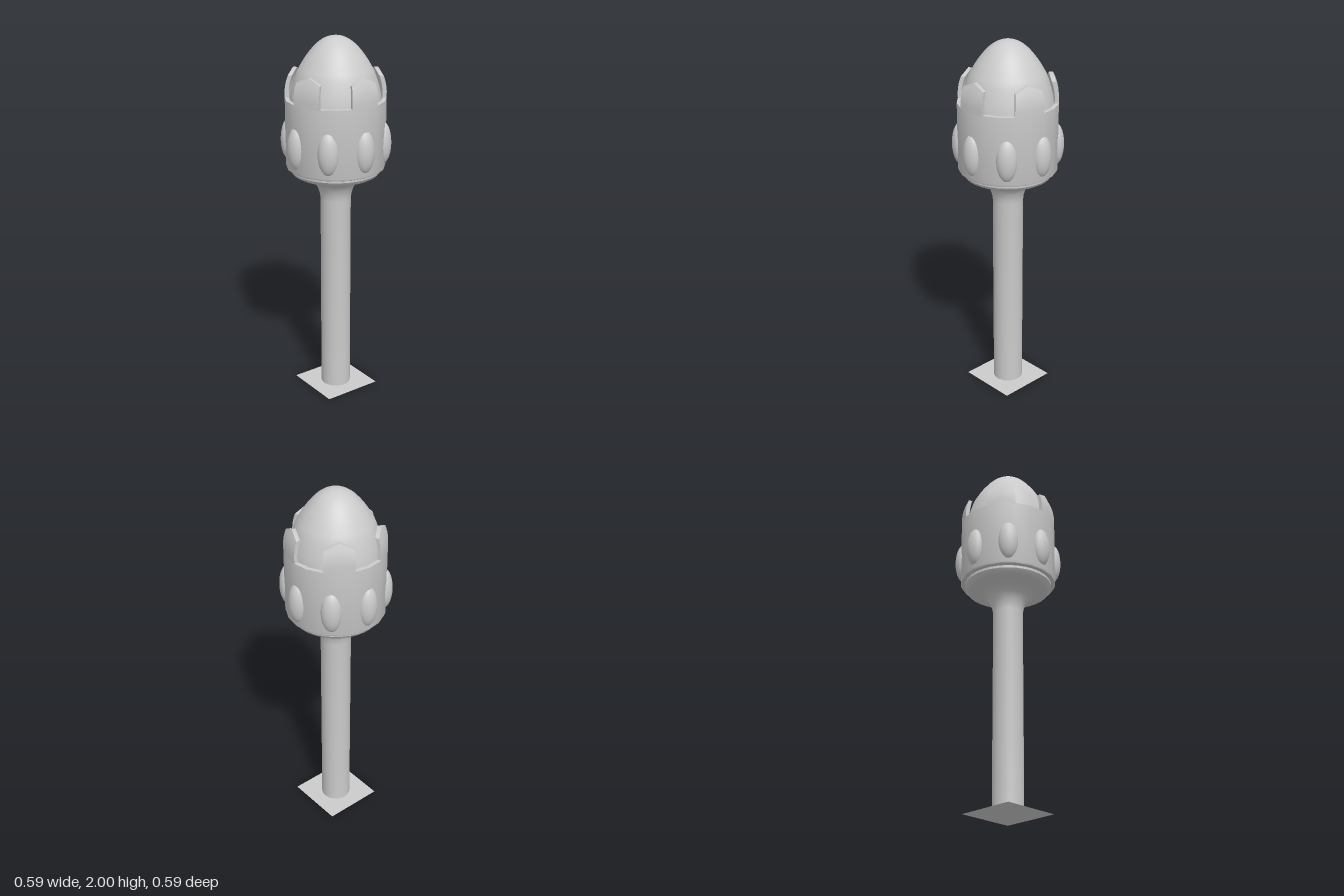
import * as THREE from 'three';
import { toCreasedNormals } from 'three/addons/utils/BufferGeometryUtils.js';

export function createModel() {
  const model = new THREE.Group();
  const grey = new THREE.MeshStandardMaterial({ color: 0xcccccc });
  const greyDouble = new THREE.MeshStandardMaterial({ color: 0xcccccc, side: THREE.DoubleSide });

  const add = (name, geometry, material = grey) => {
    const mesh = new THREE.Mesh(geometry, material);
    mesh.name = name;
    model.add(mesh);
    return mesh;
  };
  const points = (list) => list.map(([r, y]) => new THREE.Vector2(r, y));
  const lathe = (list, sides, crease = 0.6) =>
    toCreasedNormals(new THREE.LatheGeometry(points(list), sides), crease);

  // Thin square foot under the handle
  add('footPlate', new THREE.PlaneGeometry(0.33, 0.33).rotateX(-Math.PI / 2), greyDouble);

  // Straight handle flaring into the bowl under the head
  add('handle', lathe([
    [0.082, 0], [0.082, 1.12], [0.086, 1.15], [0.097, 1.185], [0.115, 1.213], [0.14, 1.234],
    [0.175, 1.248], [0.21, 1.257], [0.23, 1.268], [0.241, 1.284], [0.241, 1.305],
  ], 32));

  // Egg-shaped core rising out of the cup
  const domeCurve = new THREE.SplineCurve(points([
    [0.244, 1.5], [0.244, 1.6], [0.235, 1.7], [0.207, 1.8], [0.182, 1.85],
    [0.15, 1.9], [0.108, 1.95], [0.07, 1.98], [0.033, 1.996], [0, 2],
  ]));
  const domeProfile = domeCurve.getPoints(27);
  domeProfile.at(-1).set(0, 2);
  add('dome', new THREE.LatheGeometry(domeProfile, 40));

  // Twenty-sided cup around the core
  const wallRadius = 0.266, rimY = 1.675, wallThickness = 0.022;
  add('cup', lathe([
    [0.2, 1.298], [0.254, 1.298], [0.262, 1.302], [wallRadius, 1.312], [wallRadius, rimY],
    [wallRadius - wallThickness, rimY], [wallRadius - wallThickness, 1.6],
  ], 20));

  // Five pointed battlements, bent round the cup and leaning in over the core
  const battlementShape = () => {
    const geometry = new THREE.BoxGeometry(2, 1, 1, 2, 6, 1);
    const pos = geometry.attributes.position;
    for (let i = 0; i < pos.count; i++) {
      const u = pos.getX(i);
      const v = pos.getY(i) + 0.5;
      const w = 0.5 - pos.getZ(i);
      const topY = 1.822 - 0.032 * Math.abs(u);
      const y = rimY - 0.005 + v * (topY - rimY + 0.005);
      const lean = 2.15 * Math.max(0, y - 1.7) ** 2;
      const radius = wallRadius - lean - w * wallThickness;
      const angle = u * (Math.PI / 10) * (1 - 0.04 * v);
      pos.setXYZ(i, radius * Math.sin(angle), y, radius * Math.cos(angle));
    }
    geometry.computeVertexNormals();
    return geometry;
  };
  const battlement = battlementShape();
  for (let i = 0; i < 5; i++) {
    add('battlement', battlement).rotation.y = (i * Math.PI * 2) / 5;
  }

  // Eight tall oval studs set into the cup
  const stud = new THREE.SphereGeometry(1, 20, 14).scale(0.055, 0.115, 0.046).translate(0, 1.44, 0.25);
  for (let i = 0; i < 8; i++) {
    add('stud', stud).rotation.y = (i * Math.PI) / 4;
  }

  return model;
}
